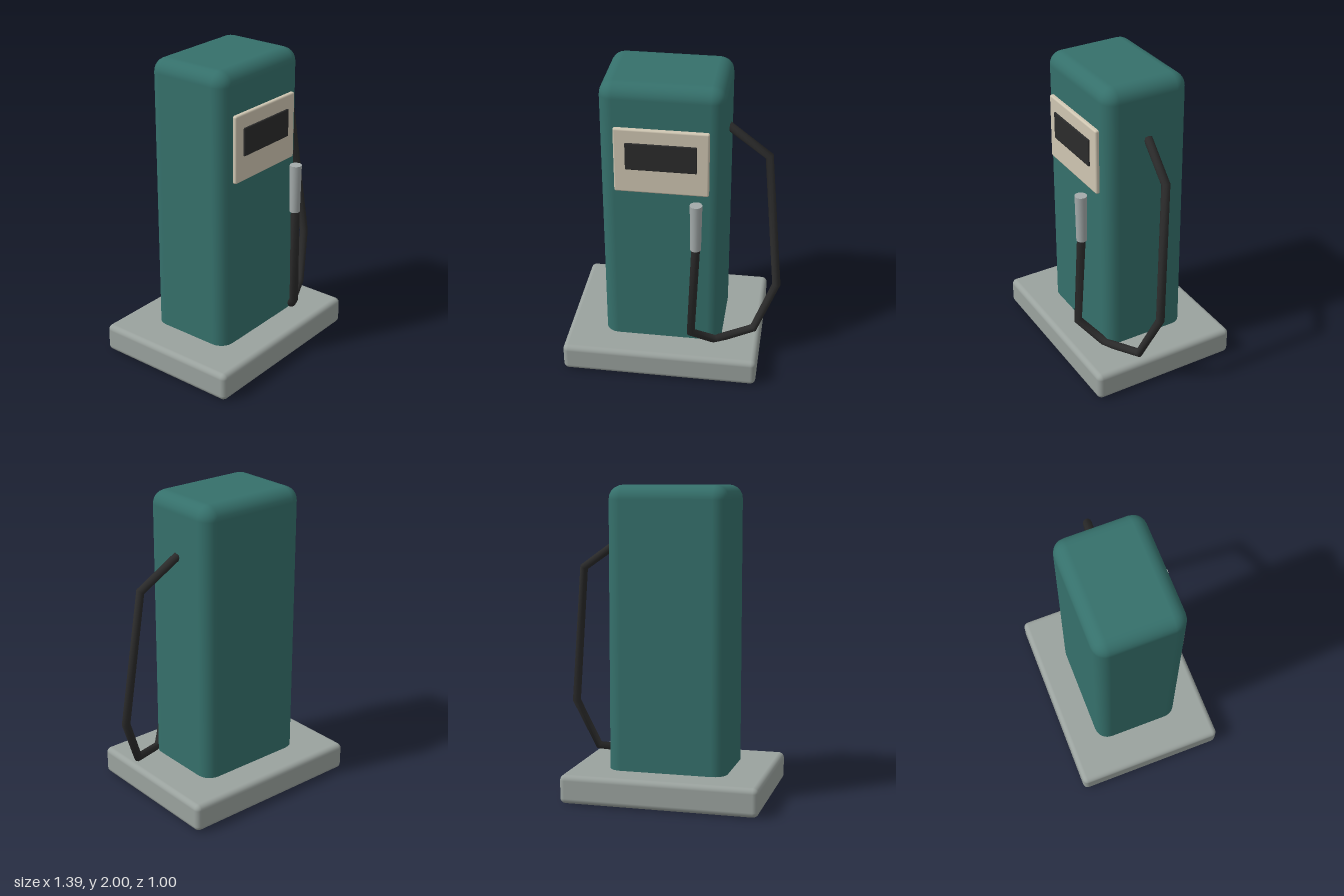
import * as THREE from 'three';
import { RoundedBoxGeometry } from 'three/addons/geometries/RoundedBoxGeometry.js';

const material = (name, color) => {
  const m = new THREE.MeshStandardMaterial({ color });
  m.name = name;
  return m;
};

// Straight-sided path whose tube rings sit exactly on the bend points
class BentPath extends THREE.Curve {
  constructor(points) {
    super();
    this.points = points;
  }
  getPoint(t, target = new THREE.Vector3()) {
    const n = this.points.length - 1;
    const i = Math.min(Math.floor(t * n + 1e-6), n - 1);
    return target.lerpVectors(this.points[i], this.points[i + 1], t * n - i);
  }
  getPointAt(t, target) {
    return this.getPoint(t, target);
  }
  getTangentAt(t, target = new THREE.Vector3()) {
    const p = this.points, n = p.length - 1, i = Math.round(t * n);
    const dir = (a, b) => p[b].clone().sub(p[a]).normalize();
    target.set(0, 0, 0);
    if (i > 0) target.add(dir(i - 1, i));
    if (i < n) target.add(dir(i, i + 1));
    return target.normalize();
  }
}

export function createModel() {
  const group = new THREE.Group();
  group.name = 'fuelPump';

  const green = material('teal paint', 0x35706b);
  const grey = material('concrete grey', 0x9aa29e);
  const cream = material('cream panel', 0xcfc6b2);
  const black = material('black rubber', 0x2b2b2b);
  const metal = material('nozzle metal', 0xa3aaaa);

  const add = (name, geometry, mat, x = 0, y = 0, z = 0) => {
    const mesh = new THREE.Mesh(geometry, mat);
    mesh.name = name;
    mesh.position.set(x, y, z);
    group.add(mesh);
  };
  // Rounded box given by its lower and upper corners
  const box = (name, mat, lo, hi, radius, segments = 3) => {
    const s = hi.map((v, i) => v - lo[i]);
    const c = hi.map((v, i) => (v + lo[i]) / 2);
    add(name, new RoundedBoxGeometry(...s, segments, radius), mat, ...c);
  };

  // Plinth and cabinet
  box('base', grey, [-0.7, 0, -0.5], [0.575, 0.185, 0.5], 0.035);
  box('cabinet', green, [-0.45, 0.08, -0.29], [0.323, 2, 0.29], 0.09);

  // Display on the front
  box('displayPanel', cream, [-0.355, 1.297, 0.265], [0.232, 1.73, 0.314], 0.012, 2);
  box('displayScreen', black, [-0.282, 1.46, 0.305], [0.158, 1.64, 0.324], 0.005, 1);

  // Hose from the side of the cabinet round to the nozzle
  const hosePoints = [
    [0.315, 1.64, 0], [0.577, 1.46, 0.035], [0.665, 0.55, 0.11], [0.53, 0.23, 0.18],
    [0.285, 0.19, 0.285], [0.14, 0.33, 0.41], [0.165, 1.0, 0.385],
  ].map((p) => new THREE.Vector3(...p));
  add('hose', new THREE.TubeGeometry(new BentPath(hosePoints), hosePoints.length - 1, 0.028, 10), black);

  // Nozzle, slightly wider at the top
  add('nozzle', new THREE.CylinderGeometry(0.039, 0.034, 0.32, 16), metal, 0.163, 1.118, 0.383);

  return group;
}
